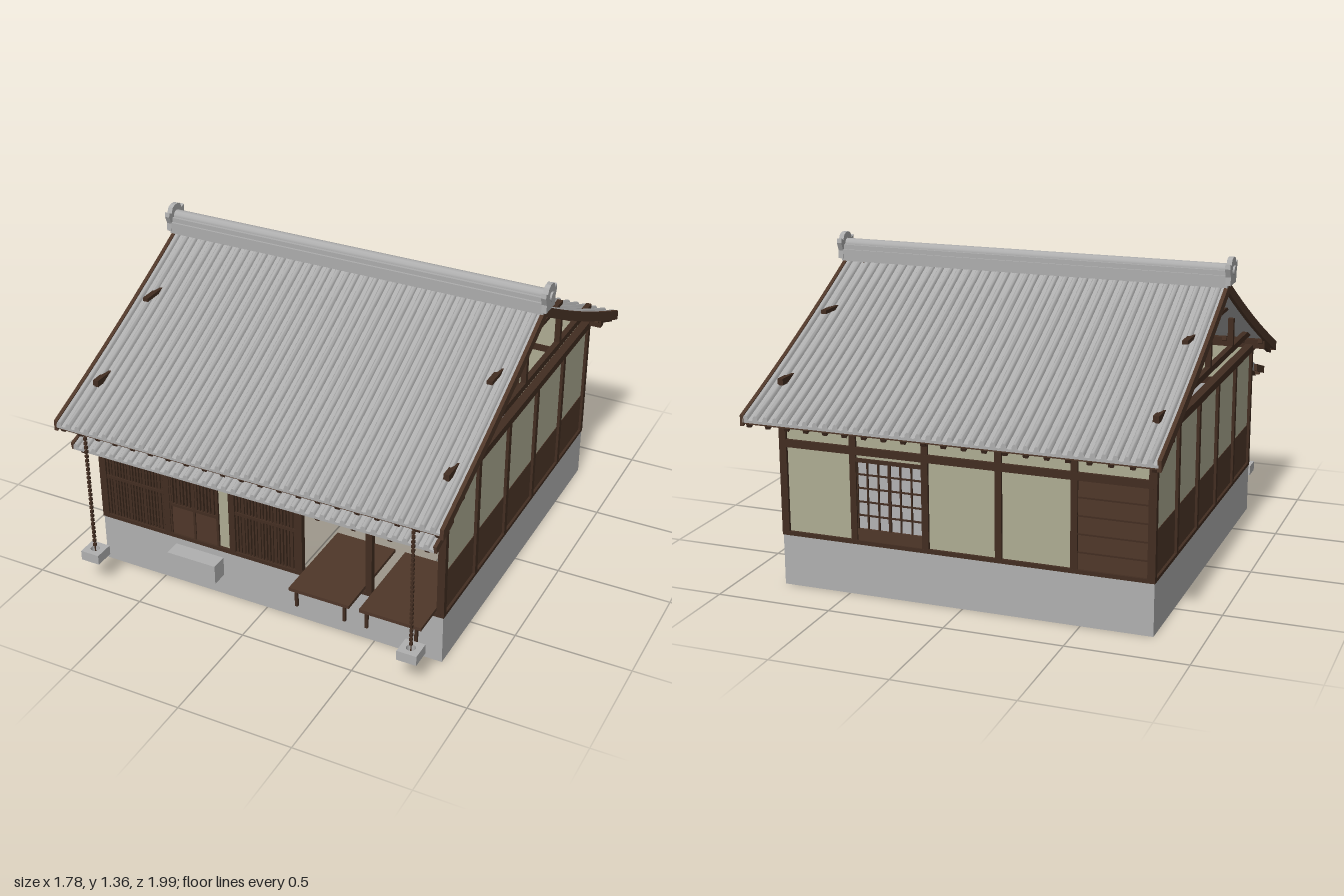
import * as THREE from 'three';
import { toCreasedNormals } from 'three/addons/utils/BufferGeometryUtils.js';

const mat = (name, color, side = THREE.FrontSide) => {
  const m = new THREE.MeshStandardMaterial({ color, side });
  m.name = name;
  return m;
};

export function createModel() {
  const stone = mat('stone', 0xb0b0b0, THREE.DoubleSide);
  const floorGrey = mat('floorGrey', 0xa8a8a8);
  const tile = mat('tile', 0xadadad, THREE.DoubleSide);
  const wood = mat('wood', 0x4f3729);
  const darkWood = mat('darkWood', 0x422d21);
  const plaster = mat('plaster', 0xaeac93);
  const paper = mat('paper', 0xb2b2b4);

  const house = new THREE.Group();
  house.name = 'house';
  const add = (name, geo, m, parent = house) => {
    const mesh = new THREE.Mesh(geo, m);
    mesh.name = name;
    parent.add(mesh);
    return mesh;
  };
  // Box given by its extents on each axis
  const box = (name, m, x0, x1, y0, y1, z0, z1) => {
    const mesh = add(name, new THREE.BoxGeometry(x1 - x0, y1 - y0, z1 - z0), m);
    mesh.position.set((x0 + x1) / 2, (y0 + y1) / 2, (z0 + z1) / 2);
    return mesh;
  };
  const sides = [-1, 1];
  const W = 0.795;
  const grid = [-0.785, -0.472, -0.157, 0.157, 0.472, 0.785];

  // Foundation: four walls, open underneath, floor facing down
  for (const s of sides) {
    add('foundationWall', new THREE.PlaneGeometry(1.6, 0.22), stone).position.set(0, 0.11, s * W);
    const w = add('foundationWall', new THREE.PlaneGeometry(1.59, 0.22), stone);
    w.position.set(s * 0.8, 0.11, 0);
    w.rotation.y = Math.PI / 2;
  }
  const floor = add('floor', new THREE.PlaneGeometry(1.6, 1.59), floorGrey);
  floor.rotation.x = Math.PI / 2;
  floor.position.y = 0.215;

  // Posts, sills and wall beams on all four sides
  for (const s of sides) {
    for (const g of grid) {
      box('sidePost', darkWood, s * 0.79 - 0.013, s * 0.79 + 0.013, 0.22, 0.79, g - 0.013, g + 0.013);
      box('post', darkWood, g - 0.014, g + 0.014, 0.22, 0.82, s * 0.785 - 0.013, s * 0.785 + 0.013);
    }
    box('sideLowerPanel', wood, s * 0.785 - 0.007, s * 0.785 + 0.007, 0.22, 0.42, -0.78, 0.78);
    box('sidePlaster', plaster, s * 0.785 - 0.005, s * 0.785 + 0.005, 0.42, 0.78, -0.78, 0.78);
    box('sideSill', darkWood, s * 0.79 - 0.013, s * 0.79 + 0.013, 0.22, 0.235, -W, W);
    box('sideBeam', darkWood, s * 0.79 - 0.018, s * 0.79 + 0.018, 0.775, 0.808, -0.815, 0.815);
    box('sill', darkWood, -0.79, 0.79, 0.22, 0.237, s * 0.785 - 0.014, s * 0.785 + 0.014);
    box('lintel', darkWood, -0.79, 0.79, 0.603, 0.635, s * 0.785 - 0.014, s * 0.785 + 0.014);
    box('wallPlate', darkWood, -0.86, 0.86, 0.79, 0.83, s * 0.785 - 0.018, s * 0.785 + 0.018);
    box('upperPlaster', plaster, -0.78, 0.78, 0.635, 0.79, s * 0.78 - 0.005, s * 0.78 + 0.005);
    // Gable truss
    const tx = [s * 0.79 - 0.012, s * 0.79 + 0.012];
    box('tieBeam', darkWood, ...tx, 0.86, 0.888, -0.79, 0.79);
    box('collarBeam', darkWood, ...tx, 1.072, 1.088, -0.39, 0.39);
    box('kingPost', darkWood, ...tx, 0.888, 1.225, -0.012, 0.012);
    for (const q of sides) box('queenPost', darkWood, ...tx, 0.888, 1.01, q * 0.392 - 0.012, q * 0.392 + 0.012);
  }

  // Front bays: lattice screens, lattice door, open shop front
  const lattice = (x0, x1, y0, y1, n) => {
    box('latticePaper', paper, x0, x1, y0, y1, 0.765, 0.769);
    for (let i = 0; i < n; i++) {
      const x = x0 + (x1 - x0) * (i + 0.5) / n;
      const h = i % 5 === 2 ? 0.0065 : 0.0042;
      box('latticeBar', darkWood, x - h, x + h, y0, y1, 0.772, 0.792);
    }
  };
  for (const [x0, x1] of [[-0.772, -0.487], [-0.143, 0.143]]) {
    lattice(x0, x1, 0.237, 0.603, 19);
    box('latticeRail', darkWood, x0, x1, 0.423, 0.436, 0.77, 0.795);
  }
  lattice(-0.455, -0.225, 0.385, 0.59, 14);
  box('doorHead', wood, -0.458, -0.225, 0.588, 0.605, 0.768, 0.79);
  box('doorPanel', wood, -0.458, -0.225, 0.237, 0.385, 0.768, 0.79);
  for (const x of [-0.455, -0.34, -0.228]) box('doorStile', darkWood, x - 0.005, x + 0.005, 0.237, 0.6, 0.77, 0.795);
  box('doorRail', darkWood, -0.458, -0.225, 0.375, 0.388, 0.77, 0.795);
  box('doorSidePlaster', plaster, -0.223, -0.171, 0.237, 0.603, 0.773, 0.785);

  // Display benches with legs, and shelves behind them
  for (const x of [0.315, 0.63]) {
    box('bench', wood, x - 0.135, x + 0.135, 0.237, 0.252, 0.5, 0.93);
    for (const s of sides) box('benchLeg', darkWood, x + s * 0.108 - 0.006, x + s * 0.108 + 0.006, 0.16, 0.24, 0.908, 0.92);
    box('shelf', darkWood, x - 0.125, x + 0.125, 0.425, 0.434, 0.46, 0.58);
    box('shelf', darkWood, x - 0.125, x + 0.125, 0.325, 0.333, 0.47, 0.53);
  }

  // Back bays: boarded bay, plaster bays and a paper window
  for (let i = 0; i < 5; i++) {
    const a = grid[i] + 0.012, b = grid[i + 1] - 0.012;
    if (i === 0) {
      box('backBoards', wood, a, b, 0.23, 0.605, -0.788, -0.778);
      for (let k = 1; k < 5; k++) box('boardJoint', darkWood, a, b, 0.23 + k * 0.075, 0.236 + k * 0.075, -0.793, -0.786);
    } else if (i === 3) {
      box('windowPaper', paper, a, b, 0.28, 0.59, -0.782, -0.774);
      box('windowBase', wood, a, b, 0.23, 0.287, -0.792, -0.772);
      box('windowHead', darkWood, a, b, 0.572, 0.588, -0.795, -0.768);
      box('windowHeadPlaster', plaster, a, b, 0.588, 0.605, -0.786, -0.776);
      for (let k = 0; k <= 6; k++) {
        const x = a + (b - a) * k / 6, h = k % 3 ? 0.003 : 0.006;
        box('windowBar', darkWood, x - h, x + h, 0.285, 0.575, -0.79, -0.782);
      }
      for (let k = 1; k < 5; k++) box('windowBar', darkWood, a, b, 0.284 + k * 0.058, 0.29 + k * 0.058, -0.79, -0.782);
    } else box('backPlaster', plaster, a, b, 0.23, 0.605, -0.785, -0.775);
  }

  // Ribbed tile slab swept down a slope, closed at the eave and underneath
  const ribU = [0, 0.05, 0.14, 0.27, 0.4, 0.49, 0.54, 0.77];
  const ribH = [0, 0.55, 0.88, 1, 0.88, 0.55, 0, -0.12];
  const tileSlab = (name, path, halfX, ribs, height, thick) => {
    const cols = ribs * 8 + 1, rows = path.length * 2, pos = [], idx = [];
    for (let j = 0; j < rows; j++) {
      const top = j < path.length;
      const [z, y] = path[top ? j : rows - 1 - j];
      for (let i = 0; i < cols; i++) {
        const x = -halfX + (2 * halfX * (Math.floor(i / 8) + ribU[i % 8])) / ribs;
        pos.push(x, top ? y + height * ribH[i % 8] : y - thick, z);
      }
    }
    for (let j = 0; j < rows - 1; j++) for (let i = 0; i < cols - 1; i++) {
      const a = j * cols + i, b = a + cols;
      idx.push(a, b, a + 1, b, b + 1, a + 1);
    }
    const geo = new THREE.BufferGeometry();
    geo.setAttribute('position', new THREE.Float32BufferAttribute(pos, 3));
    geo.setIndex(idx);
    return add(name, toCreasedNormals(geo, 0.7), tile);
  };

  // Main roof, gently sagging from ridge to eave
  const roofY = t => 1.25 - 0.53 * t + 0.06 * t * t;
  const E = 0.985, steps = 8;
  const slope = Array.from({ length: steps + 1 }, (_, i) => [E * i / steps, roofY(i / steps)]);
  for (const s of sides) {
    const roof = tileSlab('roofTiles', slope.map(([z, y]) => [z, y - 0.018]), 0.858, 39, 0.019, 0.012);
    if (s < 0) roof.rotation.y = Math.PI;
    box('eaveBoard', wood, -0.865, 0.865, 0.742, 0.762, s * 0.968 - 0.01, s * 0.968 + 0.01);
    // Eave rafters outside the walls
    for (let i = 0; i <= 20; i++) {
      const r = add('rafter', new THREE.BoxGeometry(0.02, 0.024, 0.23), darkWood);
      r.position.set(-0.84 + i * 0.084, roofY(0.88) - 0.047, s * 0.88 * E);
      r.rotation.x = s * 0.405;
    }
    // Bargeboards on both gables
    const edge = [...slope].reverse().map(([z, y]) => [-z, y]).concat(slope.slice(1));
    const shape = new THREE.Shape(edge.concat([...edge].reverse().map(([z, y]) => [z, y - 0.045])).map(p => new THREE.Vector2(...p)));
    const barge = add('bargeboard', new THREE.ExtrudeGeometry(shape, { depth: 0.016, bevelEnabled: false }), wood);
    barge.rotation.y = -Math.PI / 2;
    barge.position.x = s * 0.862 + 0.008;
  }

  // Ridge: stacked courses with a rounded cap and end ornaments
  box('ridgeBase', tile, -0.87, 0.87, 1.235, 1.285, -0.047, 0.047);
  box('ridgeCourse', tile, -0.87, 0.87, 1.285, 1.305, -0.038, 0.038);
  const cap = add('ridgeCap', new THREE.CylinderGeometry(0.026, 0.026, 1.74, 12), tile);
  cap.rotation.z = Math.PI / 2;
  cap.position.y = 1.303;
  const half = [[0.05, 1.245], [0.047, 1.28], [0.062, 1.315], [0.058, 1.335], [0.042, 1.325], [0.03, 1.348], [0.012, 1.356]];
  const ornament = new THREE.Shape(half.concat([...half].reverse().map(([z, y]) => [-z, y])).map(p => new THREE.Vector2(...p)));
  for (const s of sides) {
    const o = add('ridgeEnd', new THREE.ExtrudeGeometry(ornament, { depth: 0.022, bevelEnabled: false }), tile);
    o.rotation.y = -Math.PI / 2;
    o.position.x = s * 0.873 + 0.011;
    const d = add('ridgeDisc', new THREE.CylinderGeometry(0.02, 0.02, 0.012, 12), tile);
    d.rotation.z = Math.PI / 2;
    d.position.set(s * 0.886, 1.302, 0);
  }

  // Small pent roof over the shop front
  tileSlab('pentRoofTiles', [[0.785, 0.705], [0.865, 0.674], [0.945, 0.648]], 0.815, 37, 0.016, 0.012);
  const pent = new THREE.Shape([[0.785, 0.712], [0.945, 0.664], [0.94, 0.632], [0.785, 0.68]].map(p => new THREE.Vector2(...p)));
  for (const s of sides) {
    const b = add('pentBoard', new THREE.ExtrudeGeometry(pent, { depth: 0.014, bevelEnabled: false }), wood);
    b.rotation.y = -Math.PI / 2;
    b.position.x = s * 0.819 + 0.007;
  }
  box('pentEaveBoard', wood, -0.81, 0.81, 0.628, 0.64, 0.915, 0.932);
  for (let i = 0; i <= 10; i++) {
    const r = add('pentRafter', new THREE.BoxGeometry(0.018, 0.018, 0.15), darkWood);
    r.position.set(-0.78 + i * 0.156, 0.65, 0.86);
    r.rotation.x = 0.33;
  }

  // Rain chains over stone basins, and the entrance step
  for (const s of sides) {
    const x = s * 0.738;
    for (let i = 0; i < 27; i++) box('chainLink', darkWood, x - 0.006, x + 0.006, 0.185 + i * 0.021, 0.198 + i * 0.021, 0.956, 0.968);
    box('chainRod', darkWood, x - 0.002, x + 0.002, 0.14, 0.76, 0.96, 0.964);
    const basin = new THREE.Shape([[-0.043, -0.043], [0.043, -0.043], [0.043, 0.043], [-0.043, 0.043]].map(p => new THREE.Vector2(...p)));
    basin.holes.push(new THREE.Path().absarc(0, 0, 0.02, 0, Math.PI * 2, true));
    const b = add('basin', new THREE.ExtrudeGeometry(basin, { depth: 0.044, bevelEnabled: false, curveSegments: 8 }), stone);
    b.rotation.x = -Math.PI / 2;
    b.position.set(x, 0.127, 0.962);
  }
  box('stepStone', stone, -0.43, -0.2, 0.108, 0.195, 0.805, 0.878);

  house.position.z = -0.005;
  const model = new THREE.Group();
  model.add(house);
  return model;
}
